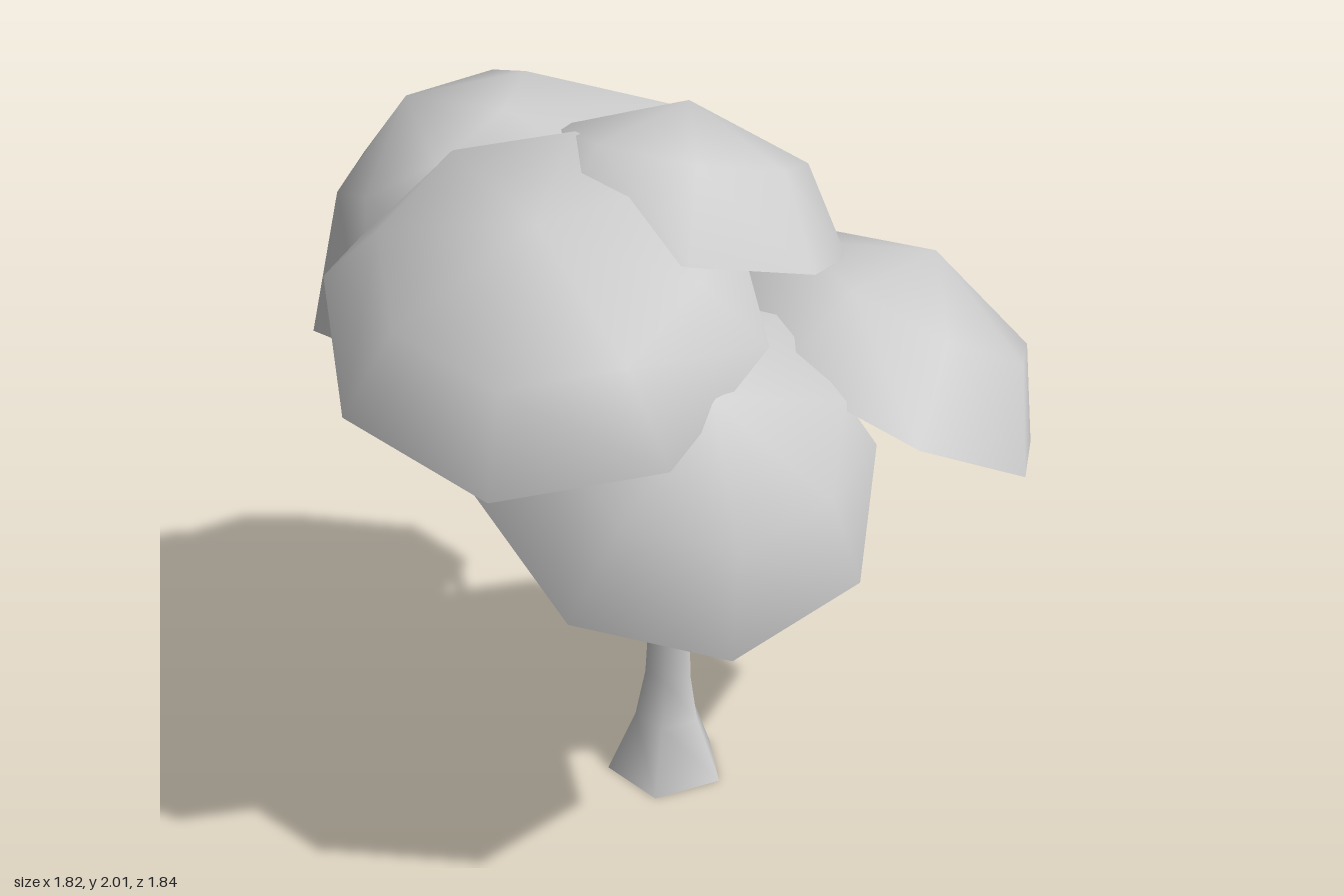
import * as THREE from 'three';
import { mergeVertices } from 'three/addons/utils/BufferGeometryUtils.js';

const material = new THREE.MeshStandardMaterial({ color: 0xcccccc, side: THREE.DoubleSide });
const vec = (a) => new THREE.Vector3(...a);

// Tube through the points whose radius follows a list spread evenly along it
function limb(name, points, radii, sides, segments) {
  const curve = new THREE.CatmullRomCurve3(points.map(vec));
  const geo = new THREE.TubeGeometry(curve, segments, 1, sides);
  const pos = geo.attributes.position, nor = geo.attributes.normal;
  const p = new THREE.Vector3(), n = new THREE.Vector3();
  for (let i = 0; i < pos.count; i++) {
    const t = Math.floor(i / (sides + 1)) / segments * (radii.length - 1);
    const k = Math.min(Math.floor(t), radii.length - 2);
    const r = THREE.MathUtils.lerp(radii[k], radii[k + 1], t - k);
    n.fromBufferAttribute(nor, i);
    p.fromBufferAttribute(pos, i).addScaledVector(n, r - 1);
    pos.setXYZ(i, p.x, p.y, p.z);
  }
  geo.computeBoundingSphere();
  const mesh = new THREE.Mesh(geo, material);
  mesh.name = name;
  return mesh;
}

// Hollow eight-sided dome: rim centre, axis, direction of one rim corner,
// rim radius, height, then radius and height of the ring halfway up
function canopy(name, centre, axis, corner, radius, height, ringRadius, ringHeight) {
  const y = vec(axis).normalize();
  const z = new THREE.Vector3().crossVectors(vec(corner), y).normalize();
  const x = new THREE.Vector3().crossVectors(y, z);
  const profile = [[radius, 0], [ringRadius, ringHeight], [0, height]];
  let geo = new THREE.LatheGeometry(profile.map((p) => new THREE.Vector2(...p)), 8);
  geo.deleteAttribute('uv');
  geo.deleteAttribute('normal');
  geo = mergeVertices(geo, 1e-4);
  geo.applyMatrix4(new THREE.Matrix4().makeBasis(x, y, z).setPosition(vec(centre)));
  geo.computeVertexNormals();
  const mesh = new THREE.Mesh(geo, material);
  mesh.name = name;
  return mesh;
}

export function createModel() {
  const tree = new THREE.Group();
  tree.name = 'tree';

  // Trunk: flared five-sided foot open underneath, slim stem, swelling at the fork
  const profile = [[0.168, 0], [0.093, 0.18], [0.067, 0.32], [0.056, 0.6], [0.057, 0.86], [0.072, 0.98], [0.076, 1.05], [0.05, 1.14], [0, 1.16]];
  const trunkGeo = new THREE.LatheGeometry(profile.map(([r, y]) => new THREE.Vector2(r, y)), 5, THREE.MathUtils.degToRad(42));
  const tp = trunkGeo.attributes.position;
  for (let i = 0; i < tp.count; i++) tp.setX(i, tp.getX(i) + 0.02 * Math.min(tp.getY(i), 1));
  trunkGeo.translate(0, 0, 0.055);
  const trunk = new THREE.Mesh(trunkGeo, material);
  trunk.name = 'trunk';
  tree.add(trunk);

  // Branches leaving the fork, one or more under each canopy
  const branches = [
    ['leftBranch', [[0.02, 0.99, 0.05], [0.13, 1.09, 0.13], [0.31, 1.17, 0.28], [0.44, 1.29, 0.41]], 0.042],
    ['frontBranch', [[0.01, 1.0, 0.07], [-0.02, 1.1, 0.2], [-0.06, 1.2, 0.36], [-0.08, 1.3, 0.46]], 0.035],
    ['centreBranch', [[0.01, 1.03, 0.05], [0.02, 1.2, 0.04], [0.0, 1.4, 0.06], [-0.02, 1.7, 0.13]], 0.055],
    ['rightFrontBranch', [[0, 1.02, 0.06], [-0.12, 1.1, 0.13], [-0.26, 1.2, 0.26], [-0.38, 1.45, 0.38]], 0.038],
    ['rightBackBranch', [[0.01, 1.06, 0.04], [-0.12, 1.2, -0.03], [-0.33, 1.35, -0.12], [-0.36, 1.58, -0.16]], 0.04],
    ['backBranch', [[0.01, 1.04, 0.04], [-0.02, 1.18, -0.1], [-0.1, 1.27, -0.3], [-0.14, 1.46, -0.46]], 0.034],
    ['bareTwig', [[0.03, 1.08, 0.03], [0.2, 1.18, -0.05], [0.37, 1.31, -0.2], [0.465, 1.44, -0.385]], 0.032],
    ['smallTwig', [[0.02, 1.2, 0.04], [0.05, 1.3, 0.0], [0.08, 1.4, -0.03], [0.08, 1.52, -0.03]], 0.025],
  ];
  for (const [name, points, r] of branches) tree.add(limb(name, points, [r, r * 0.65, r * 0.5, r * 0.35], 5, 8));

  // Leaf canopies, each a tilted dome open underneath
  const canopies = [
    ['frontCanopy', [-0.11, 1.19, 0.475], [0, 0.83, 0.56], [-0.02, -0.29, 0.44], 0.51, 0.36, 0.36, 0.25],
    ['rightFrontCanopy', [-0.4, 1.585, 0.32], [-0.17, 0.87, 0.46], [-0.25, -0.26, 0.4], 0.54, 0.33, 0.38, 0.21],
    ['leftCanopy', [0.48, 1.255, 0.25], [0.46, 0.89, 0.02], [0.425, -0.225, 0.09], 0.5, 0.36, 0.35, 0.235],
    ['topCanopy', [-0.03, 1.67, 0.145], [0.216, 0.963, -0.155], [-0.105, 0.095, 0.445], 0.45, 0.325, 0.315, 0.215],
    ['rightBackCanopy', [-0.4, 1.635, -0.165], [-0.49, 0.857, -0.154], [0.46, 0.275, 0.07], 0.54, 0.38, 0.28, 0.27],
    ['backCanopy', [-0.13, 1.195, -0.462], [0.07, 0.955, -0.27], [-0.02, -0.11, -0.46], 0.485, 0.5, 0.24, 0.38],
  ];
  for (const c of canopies) tree.add(canopy(...c));

  return tree;
}
